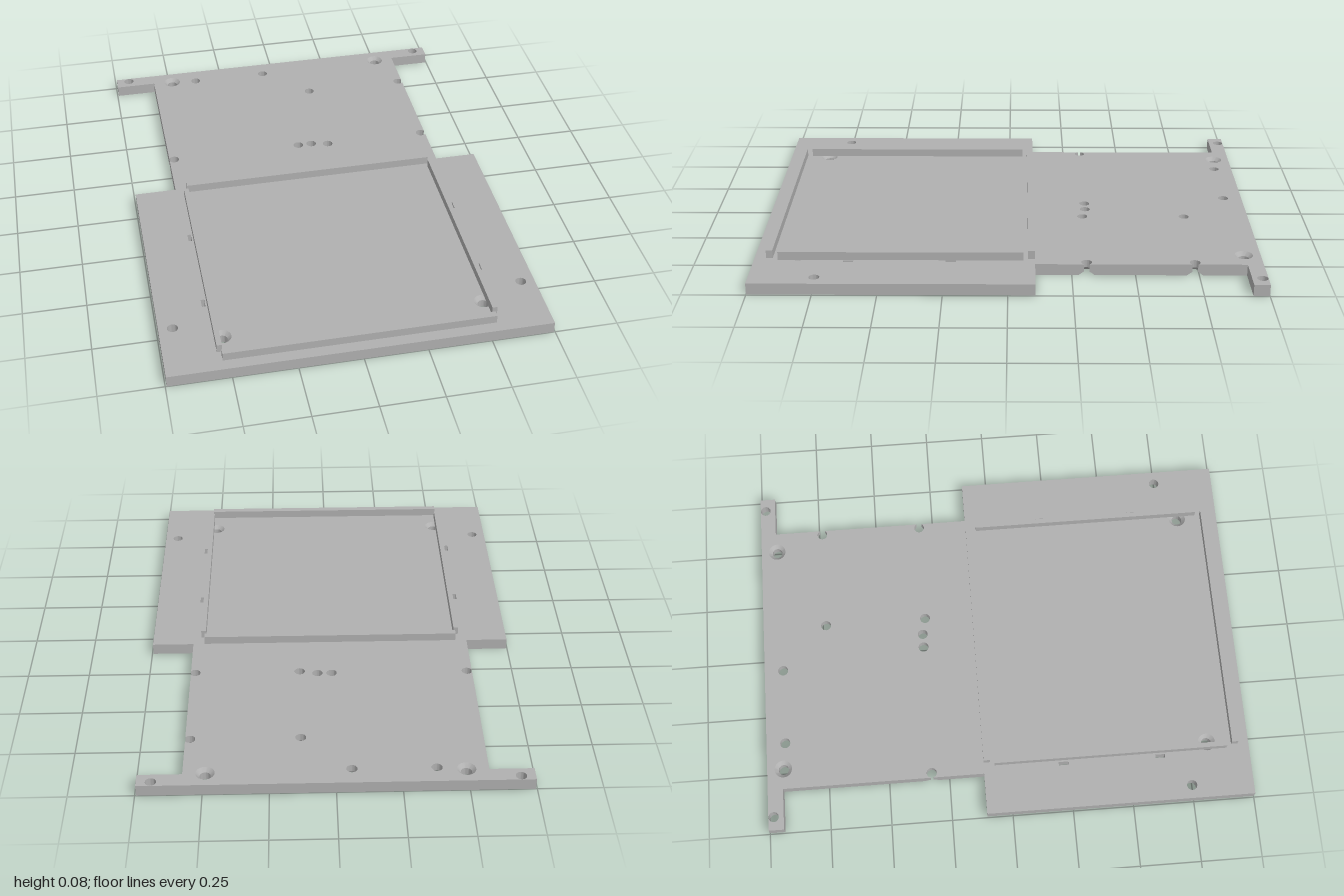
import * as THREE from 'three';
import { mergeGeometries, toCreasedNormals } from 'three/addons/utils/BufferGeometryUtils.js';

const T = 0.047;        // plate thickness
const R = 0.021;        // drill radius
const SINK = 0.015;     // countersink depth, 45 degrees
const NECK = 0.575;     // half width of the narrow section
const LEVELS = [0, 0.005, 0.01, SINK, T - SINK, T];

// Hole radius at a height for each kind of hole
const radiusAt = {
  plain: () => R,
  sunkBelow: (y) => R + Math.max(0, SINK - y),
  sunkAbove: (y) => R + Math.max(0, y - (T - SINK)),
};

// Drilled holes: [x, z, kind]
const HOLES = [
  [-0.69, -0.978, 'plain'], [0.69, -0.978, 'plain'],
  [-0.69, 0.745, 'plain'], [0.69, 0.745, 'plain'],
  [0.058, -0.322, 'plain'],
  [-0.38, -0.922, 'sunkBelow'], [-0.06, -0.922, 'sunkBelow'],
  [0.13, -0.733, 'sunkBelow'], [0.13, -0.308, 'sunkBelow'],
  [0, -0.322, 'sunkBelow'],
  [-0.49, -0.933, 'sunkAbove'], [0.49, -0.933, 'sunkAbove'],
  [-0.512, 0.827, 'sunkAbove'], [0.512, 0.827, 'sunkAbove'],
];

// Plan points use (x, -z), so counter-clockwise faces up
const P = (x, z) => new THREE.Vector2(x, -z);

// Arc of a countersunk hole that breaks through the neck's edge
function edgeNotch(x, z, y) {
  const r = radiusAt.sunkBelow(y);
  const a = Math.acos((NECK - Math.abs(x)) / r);
  const base = x > 0 ? 0 : Math.PI;
  return Array.from({ length: 25 }, (_, i) => {
    const t = base - a - (i / 24) * (2 * Math.PI - 2 * a);
    return P(x + r * Math.cos(t), z - r * Math.sin(t));
  });
}

// Plate outline at height y
function outline(y) {
  return [
    P(0.745, 1), P(0.745, -0.106), P(NECK, -0.106),
    ...edgeNotch(0.557, -0.308, y), ...edgeNotch(0.557, -0.733, y),
    P(NECK, -0.937), P(0.745, -0.937), P(0.745, -1),
    P(-0.745, -1), P(-0.745, -0.937), P(-NECK, -0.937),
    ...edgeNotch(-0.5545, -0.322, y),
    P(-NECK, -0.106), P(-0.745, -0.106), P(-0.745, 1),
  ];
}

// Clockwise hole outlines at height y
function circle([x, z, kind], y) {
  const r = radiusAt[kind](y);
  return Array.from({ length: 28 }, (_, i) => {
    const t = (-i / 28) * Math.PI * 2;
    return P(x + r * Math.cos(t), z + r * Math.sin(-t));
  });
}

function slot(x, z) {
  const w = 0.007, l = 0.02;
  return [P(x - w, z + l), P(x - w, z - l), P(x + w, z - l), P(x + w, z + l)];
}

// Walls joining the same loop at successive heights
function loft(loopAt) {
  const pos = [], index = [];
  const n = loopAt(0).length;
  LEVELS.forEach((y) => loopAt(y).forEach((p) => pos.push(p.x, y, -p.y)));
  for (let k = 0; k < LEVELS.length - 1; k++) {
    for (let i = 0; i < n; i++) {
      const a = k * n + i, b = k * n + (i + 1) % n;
      index.push(a, b, b + n, a, b + n, a + n);
    }
  }
  const g = new THREE.BufferGeometry();
  g.setAttribute('position', new THREE.Float32BufferAttribute(pos, 3));
  g.setIndex(index);
  return toCreasedNormals(g, 0.5);
}

// Flat top or bottom face of the plate
function cap(loops, y, up) {
  const shape = new THREE.Shape(loops[0](y));
  shape.holes = loops.slice(1).map((f) => new THREE.Path(f(y)));
  const g = new THREE.ShapeGeometry(shape);
  g.rotateX(-Math.PI / 2).translate(0, y, 0);
  if (!up) g.index.array.reverse();
  const flat = g.toNonIndexed();
  flat.deleteAttribute('uv');
  flat.computeVertexNormals();
  return flat;
}

export function createModel() {
  const model = new THREE.Group();
  model.name = 'mountingPlate';
  const grey = new THREE.MeshStandardMaterial({ color: 0xb0b0b0 });
  grey.name = 'grey';

  const add = (name, geometry) => {
    const mesh = new THREE.Mesh(geometry, grey);
    mesh.name = name;
    model.add(mesh);
    return mesh;
  };

  // Base plate with drilled holes and cable slots
  const loops = [outline, ...HOLES.map((h) => (y) => circle(h, y))];
  for (const x of [-0.557, 0.553]) {
    for (const z of [0.225, 0.628]) loops.push(() => slot(x, z));
  }
  add('basePlate', mergeGeometries([
    cap(loops, T, true), cap(loops, 0, false), ...loops.map(loft),
  ]));

  // Raised locating rails around the square bay
  const rail = (name, w, d, x, z) =>
    add(name, new THREE.BoxGeometry(w, 0.034, d)).position.set(x, T + 0.017, z);
  rail('leftRail', 0.02, 0.966, 0.533, 0.423);
  rail('rightRail', 0.02, 0.966, -0.533, 0.423);
  rail('frontRail', 1.056, 0.026, 0, 0.941);
  rail('backRail', 1.056, 0.026, 0, -0.092);

  return model;
}
